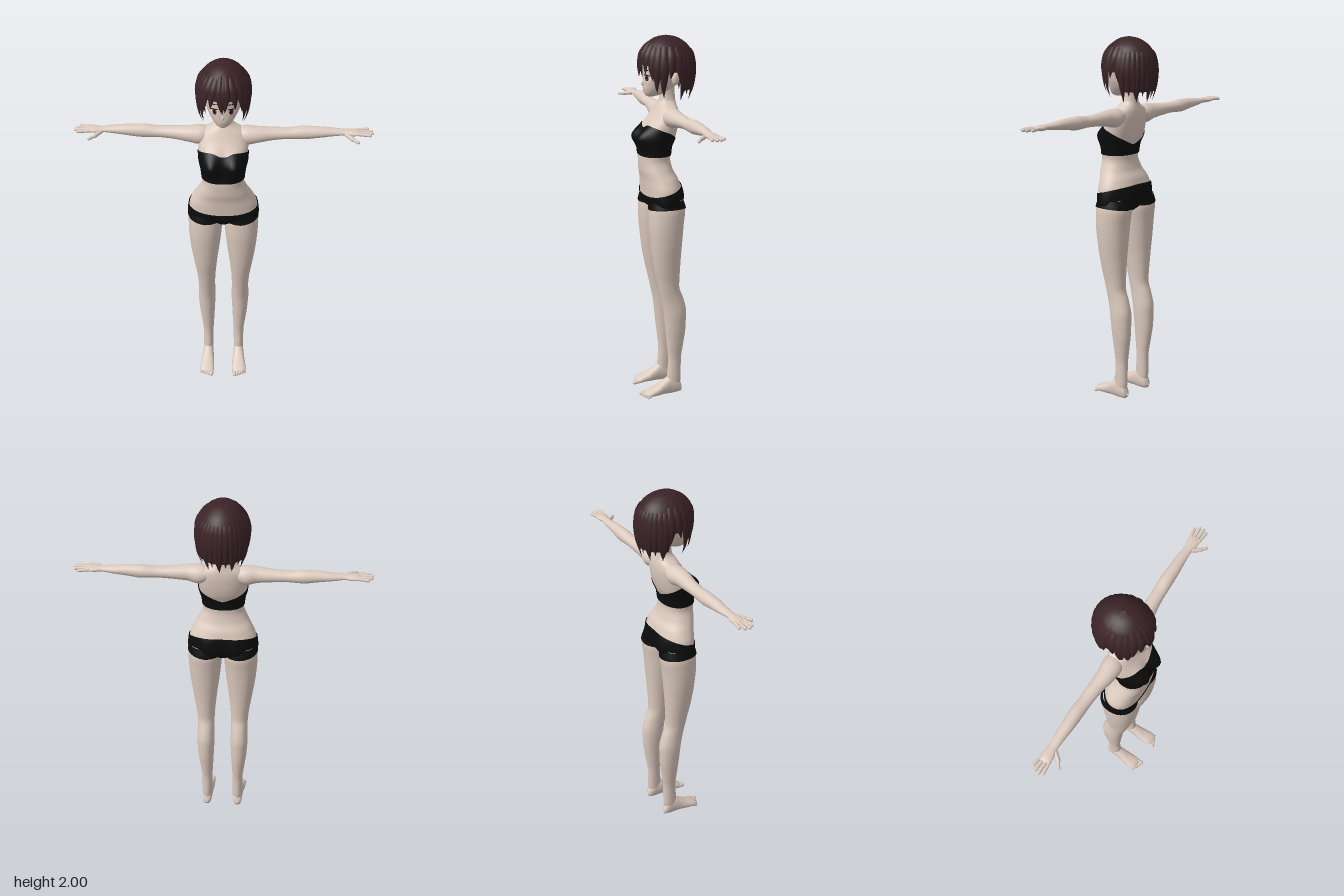
import * as THREE from 'three';

const mat = (name, color, side = THREE.FrontSide) => {
  const m = new THREE.MeshStandardMaterial({ color, side });
  m.name = name;
  return m;
};

// Smooth monotone interpolation of one column of a station table
function sample(st, t, c) {
  const n = st.length;
  if (t <= st[0][0]) return st[0][c];
  if (t >= st[n - 1][0]) return st[n - 1][c];
  let i = 0;
  while (st[i + 1][0] < t) i++;
  const sec = k => (st[k + 1][c] - st[k][c]) / (st[k + 1][0] - st[k][0]);
  const slope = k => {
    if (k === 0) return sec(0);
    if (k === n - 1) return sec(n - 2);
    const a = sec(k - 1), b = sec(k);
    return a * b <= 0 ? 0 : 2 * a * b / (a + b);
  };
  const h = st[i + 1][0] - st[i][0], u = (t - st[i][0]) / h, u2 = u * u, u3 = u2 * u;
  return (2 * u3 - 3 * u2 + 1) * st[i][c] + (u3 - 2 * u2 + u) * h * slope(i)
    + (3 * u2 - 2 * u3) * st[i + 1][c] + (u3 - u2) * h * slope(i + 1);
}

// Surface through stations [t, aMin, aMax, bMin, bMax]; axis is the direction of t
function surface(st, axis, e = 1, mod = null) {
  const ring = t => {
    const [a0, a1, b0, b1] = [1, 2, 3, 4].map(c => sample(st, t, c));
    return [(a0 + a1) / 2, (a1 - a0) / 2, (b0 + b1) / 2, (b1 - b0) / 2];
  };
  const pw = v => Math.sign(v) * Math.pow(Math.abs(v), e);
  const point = (t, th, off = 0) => {
    const [ca, ra, cb, rb] = ring(t), s = Math.sin(th), c = Math.cos(th);
    const a = ca + ra * pw(s) + off * s, b = cb + rb * pw(c) + off * c;
    const p = axis === 'y' ? [a, t, b] : axis === 'x' ? [t, b, a] : [b, a, t];
    if (mod) mod(p, c);
    return p;
  };
  const frontZ = (x, y) => {
    const [, ra, cb, rb] = ring(y);
    return cb + rb * Math.pow(Math.max(0, 1 - Math.pow(Math.abs(x) / ra, 2 / e)), e / 2);
  };
  return { point, frontZ };
}

// Grid of points, f(i, j); columns optionally join up
function grid(nu, nv, wrap, f) {
  const pos = [], idx = [], cols = wrap ? nu : nu + 1;
  for (let j = 0; j <= nv; j++) for (let i = 0; i < cols; i++) pos.push(...f(i / nu, j / nv));
  for (let j = 0; j < nv; j++) for (let i = 0; i < nu; i++) {
    const k = (i + 1) % cols, a = j * cols, b = a + cols;
    idx.push(a + i, a + k, b + k, a + i, b + k, b + i);
  }
  const g = new THREE.BufferGeometry();
  g.setAttribute('position', new THREE.Float32BufferAttribute(pos, 3));
  g.setIndex(idx);
  g.computeVertexNormals();
  return g;
}

const loft = (s, lo, hi, nu, nv, off = 0, ease = 1) => grid(nu, nv, true, (u, v) => {
  const th = u * Math.PI * 2, d = Math.atan2(Math.sin(th), Math.cos(th));
  const a = typeof lo === 'function' ? lo(d) : lo, b = typeof hi === 'function' ? hi(d) : hi;
  return s.point(b + (a - b) * Math.pow(1 - v, ease), th, off);
});

function mirrored(geo) {
  const g = geo.clone().scale(-1, 1, 1), ix = g.index.array;
  for (let i = 0; i < ix.length; i += 3) [ix[i], ix[i + 1]] = [ix[i + 1], ix[i]];
  return g;
}

function capsule(a, b, r) {
  const A = new THREE.Vector3(...a), B = new THREE.Vector3(...b), d = B.clone().sub(A);
  const g = new THREE.CapsuleGeometry(r, d.length(), 5, 10);
  g.applyQuaternion(new THREE.Quaternion().setFromUnitVectors(new THREE.Vector3(0, 1, 0), d.normalize()));
  return g.translate(...A.add(B).multiplyScalar(0.5).toArray());
}

const ball = (c, r) => new THREE.SphereGeometry(1, 16, 12).scale(...r).translate(...c);
const sym = rows => rows.map(([y, w, z0, z1]) => [y, -w, w, z0, z1]);

export function createModel() {
  const root = new THREE.Group();
  root.name = 'figure';
  const skin = mat('skin', 0xdccabe), cloth = mat('black cloth', 0x0c0c0d, THREE.DoubleSide);
  const hair = mat('dark hair', 0x3a2327, THREE.DoubleSide), white = mat('eye white', 0xeeeae8);
  const iris = mat('iris', 0x5c2024), line = mat('lash line', 0x1c1214), lip = mat('lips', 0xb07f78);
  const add = (name, geo, m) => {
    const mesh = new THREE.Mesh(geo, m);
    mesh.name = name;
    root.add(mesh);
  };
  const pair = (name, geo, m) => {
    add('left ' + name, geo, m);
    add('right ' + name, mirrored(geo), m);
  };

  // Torso and neck
  const torso = surface(sym([
    [1.06, .04, 0, .06], [1.09, .12, -.035, .09], [1.13, .185, -.06, .12], [1.2, .177, -.064, .127],
    [1.25, .155, -.055, .132], [1.3, .128, -.03, .142], [1.36, .107, -.018, .145], [1.42, .112, -.022, .135],
    [1.48, .124, -.045, .125], [1.54, .127, -.058, .105], [1.59, .122, -.062, .075], [1.62, .105, -.06, .058],
    [1.645, .065, -.055, .045], [1.665, .043, -.052, .034], [1.7, .037, -.05, .03], [1.77, .037, -.05, .03],
  ]), 'y', .9, (p, c) => {
    const x = Math.abs(p[0]), bump = (cx, w, cy, h) => Math.exp(-(((x - cx) / w) ** 2) - ((p[1] - cy) / h) ** 2);
    if (c > 0) p[2] += .05 * Math.sqrt(c) * bump(.066, .05, 1.475, .055);
    else p[2] -= .02 * Math.sqrt(-c) * bump(.08, .055, 1.15, .06);
  });
  add('torso', loft(torso, 1.06, 1.77, 64, 80), skin);

  // Clothing follows the torso
  add('bandeau top', loft(torso, 1.38, d => 1.435 + .112 * Math.sqrt((1 + Math.cos(d)) / 2)
    - .022 * Math.exp(-((d / .25) ** 2)), 64, 24, .005), cloth);
  add('briefs', loft(torso, 1.06, d => 1.195 - .03 * Math.cos(d), 64, 20, .005), cloth);

  // Legs
  const leg = surface([
    [.04, .065, .115, -.055, .015], [.1, .062, .118, -.062, .018], [.2, .06, .118, -.062, .012],
    [.3, .055, .128, -.074, .02], [.4, .05, .139, -.086, .03], [.5, .046, .144, -.088, .04],
    [.58, .048, .141, -.07, .055], [.65, .046, .144, -.047, .07], [.8, .033, .164, -.052, .1],
    [.92, .018, .18, -.06, .114], [1.02, .008, .187, -.068, .121], [1.09, .003, .188, -.076, .12],
    [1.15, .015, .175, -.06, .105],
  ], 'y', .95);
  pair('leg', loft(leg, .04, 1.15, 32, 60), skin);
  pair('briefs leg', loft(leg, d => 1.098 + .012 * Math.max(0, Math.sin(d)), 1.15, 32, 6, .004), cloth);

  // Feet and toes
  const foot = surface([
    [-.068, .025, .035, .086, .094], [-.06, .008, .06, .07, .112], [-.03, .002, .1, .062, .118],
    [0, 0, .108, .06, .12], [.04, .002, .085, .057, .125], [.08, .002, .06, .054, .132],
    [.12, .004, .042, .054, .135], [.14, .008, .032, .058, .132], [.15, .018, .022, .08, .11],
  ], 'z', .9);
  pair('foot', loft(foot, -.068, .15, 24, 30), skin);
  for (let i = 0; i < 5; i++) {
    const x = .066 + i * .0155, r = .0115 - i * .001;
    pair('toe ' + (i + 1), capsule([x, .018, .12], [x + .002, r + .001, .163 - i * .006], r), skin);
  }

  // Arms, palms and fingers
  const arm = surface([
    [.06, -.045, .03, 1.57, 1.625], [.12, -.055, .05, 1.537, 1.637], [.18, -.045, .044, 1.55, 1.633],
    [.25, -.045, .03, 1.56, 1.627], [.33, -.045, .022, 1.566, 1.624], [.41, -.05, .02, 1.563, 1.632],
    [.48, -.046, .018, 1.572, 1.63], [.56, -.042, .012, 1.583, 1.623], [.62, -.035, .01, 1.59, 1.618],
    [.65, -.042, .018, 1.589, 1.618], [.68, -.044, .02, 1.593, 1.616], [.695, -.04, .016, 1.598, 1.612],
    [.702, -.014, -.01, 1.604, 1.606],
  ], 'x');
  pair('arm', loft(arm, .06, .702, 28, 60), skin);
  [[-.036, -.044, .732], [-.019, -.023, .75], [-.002, -.001, .754], [.013, .019, .742]].forEach(([z0, z1, x], i) =>
    pair('finger ' + (i + 1), capsule([.682, 1.606, z0], [x, 1.604, z1], .0078), skin));
  pair('thumb base', capsule([.62, 1.6, .002], [.652, 1.593, .04], .011), skin);
  pair('thumb tip', capsule([.652, 1.593, .04], [.68, 1.588, .061], .008), skin);

  // Head, nose and ears
  const head = surface(sym([
    [1.685, .008, .07, .09], [1.69, .022, .045, .104], [1.705, .042, .005, .115], [1.74, .068, -.05, .121],
    [1.79, .09, -.085, .12], [1.85, .1, -.105, .12], [1.91, .093, -.1, .105], [1.95, .07, -.07, .075],
    [1.975, .01, -.01, .01],
  ]), 'y', .95);
  add('head', loft(head, 1.685, 1.975, 48, 40), skin);
  add('nose', ball([0, 1.757, .12], [.007, .014, .012]), skin);
  pair('ear', ball([.1, 1.785, -.022], [.014, .032, .02]), skin);

  // Painted face details laid on the head
  const patch = (x, y, rx, ry, off, tilt = 0) => {
    const g = new THREE.CircleGeometry(1, 20).scale(rx, ry, 1).rotateZ(tilt).translate(x, y, 0);
    const p = g.attributes.position;
    for (let i = 0; i < p.count; i++) p.setZ(i, head.frontZ(p.getX(i), p.getY(i)) + off);
    g.computeVertexNormals();
    return g;
  };
  pair('eye white', patch(.042, 1.787, .019, .0155, .002), white);
  pair('iris', patch(.041, 1.787, .0105, .0145, .004), iris);
  pair('pupil', patch(.041, 1.788, .005, .007, .0055), line);
  pair('upper lash', patch(.043, 1.803, .022, .0035, .006, -.1), line);
  pair('eyebrow', patch(.044, 1.828, .02, .0022, .003, -.08), line);
  add('mouth', patch(0, 1.722, .013, .0025, .003), lip);

  // Hair cap
  const hairSurf = surface(sym([
    [1.66, .1, -.125, .1], [1.7, .112, -.138, .12], [1.75, .127, -.148, .136], [1.83, .134, -.153, .142],
    [1.9, .124, -.147, .134], [1.95, .097, -.118, .108], [1.98, .062, -.078, .072], [1.993, .035, -.047, .042],
    [2, .001, -.007, .003],
  ]), 'y');
  add('hair cap', loft(hairSurf, d => {
    const a = Math.abs(d);
    return a < .8 ? 1.855 : a < 1.8 ? 1.825 : 1.725;
  }, 2, 64, 28, 0, 2), hair);

  // Tapered locks lying over the cap
  const lock = (name, th, width, tip, top = 1.95, lean = 0) =>
    add(name, grid(6, 14, false, (u, v) => {
      const s = 1 - v, w = 2 * u - 1;
      const half = width * (1 - Math.pow(s, 2.4)) * (.55 + .45 * Math.min(1, s * 3));
      const lift = .001 + .009 * (1 - w * w) * Math.sin(Math.PI * Math.min(1, .1 + s * .9));
      return hairSurf.point(top + (tip - top) * s, th + w * half + lean * s * s, lift);
    }), hair);
  for (const sd of [1, -1]) {
    lock('fringe lock', sd * .16, .17, 1.795, 1.97, -sd * .1);
    lock('fringe lock', sd * .42, .19, 1.808, 1.96, sd * .06);
    lock('fringe lock', sd * .72, .2, 1.775, 1.96, sd * .08);
    lock('side lock', sd * .98, .2, 1.715, 1.95, -sd * .06);
    lock('side lock', sd * 1.22, .2, 1.69, 1.95, -sd * .05);
    lock('ear lock', sd * 1.52, .2, 1.79, 1.95, -sd * .08);
    lock('ear lock', sd * 1.78, .2, 1.745, 1.95, sd * .1);
  }
  lock('centre fringe lock', .03, .12, 1.782, 1.97, -.06);
  for (let i = 0; i < 13; i++) {
    const th = 1.98 + i * (2 * Math.PI - 3.96) / 12;
    lock('back lock', th, .19, 1.668 + .016 * ((i * 5) % 3), 1.93, .08 * ((i % 3) - 1));
  }
  return root;
}
